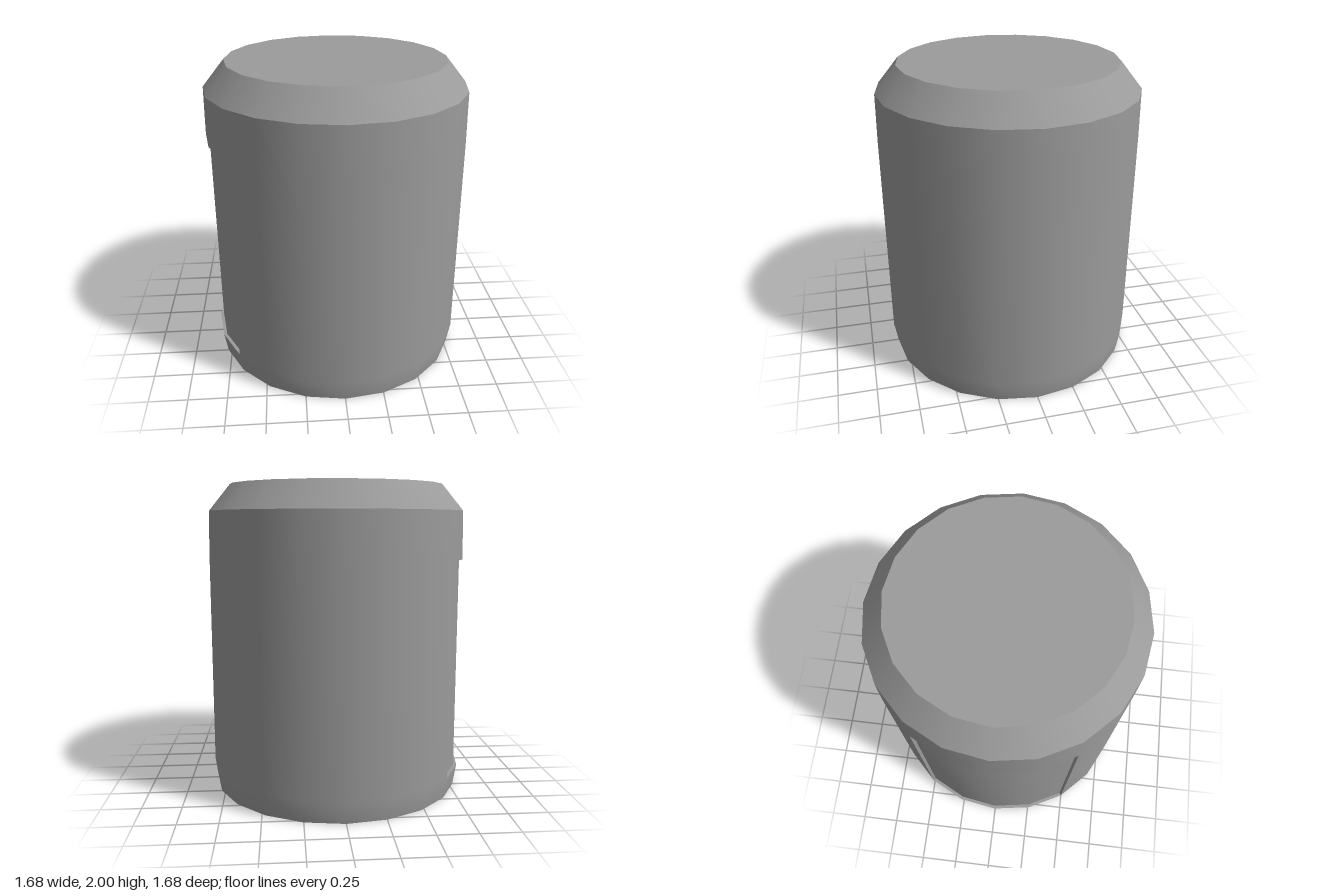
import * as THREE from 'three';
import { toCreasedNormals } from 'three/addons/utils/BufferGeometryUtils.js';

const SIDES = 20, R = 0.8385, SHOULDER_R = 0.834, TOP_R = 0.696, BASE_R = 0.815;
const INSET_R = 0.817, PANEL_LOW = 0.14, PANEL_HIGH = 1.52;
const STEP = (Math.PI * 2) / SIDES;
const PANEL_START = 13, PANEL_SIDES = 4; // facets of the recess, centred on -x
const profile = (pts) => pts.map(([r, y]) => new THREE.Vector2(r, y));

export function createModel() {
  const group = new THREE.Group();
  const material = new THREE.MeshStandardMaterial({ color: 0x9b9b9b });
  const add = (name, geometry) => {
    geometry.normalizeNormals();
    const mesh = new THREE.Mesh(geometry, material);
    mesh.name = name;
    group.add(mesh);
    return mesh;
  };

  // Smooth side wall, with the facets in front of the recess left out
  const wallPoints = profile([[BASE_R, 0], [R, PANEL_LOW], [R, PANEL_HIGH], [SHOULDER_R, 1.83]]);
  const wall = new THREE.LatheGeometry(wallPoints, SIDES);
  const bands = wallPoints.length - 1;
  wall.setIndex(Array.from(wall.index.array).filter((_, i) => {
    const quad = Math.floor(i / 6);
    const side = Math.floor(quad / bands), band = quad % bands;
    return !(band === 1 && side >= PANEL_START && side < PANEL_START + PANEL_SIDES);
  }));
  add('sideWall', wall);

  // Recessed panel with its lower and upper ledges
  const panel = new THREE.LatheGeometry(
    profile([[R, PANEL_LOW], [INSET_R, PANEL_LOW], [INSET_R, PANEL_HIGH], [R, PANEL_HIGH]]),
    PANEL_SIDES, PANEL_START * STEP, PANEL_SIDES * STEP);
  add('recessedPanel', toCreasedNormals(panel, Math.PI / 6));

  // Narrow upright steps at both ends of the recess, facing into it
  for (const [side, turn] of [[PANEL_START, 1], [PANEL_START + PANEL_SIDES, -1]]) {
    const angle = side * STEP, r = (R + INSET_R) / 2;
    const step = add('recessEnd', new THREE.PlaneGeometry(R - INSET_R, PANEL_HIGH - PANEL_LOW));
    step.position.set(r * Math.sin(angle), (PANEL_LOW + PANEL_HIGH) / 2, r * Math.cos(angle));
    step.rotation.y = angle + turn * Math.PI / 2;
  }

  // Sloping shoulder
  add('shoulder', new THREE.LatheGeometry(profile([[SHOULDER_R, 1.83], [TOP_R, 2]]), SIDES));

  // Flat lid and base
  const lid = add('lid', new THREE.CircleGeometry(TOP_R, SIDES));
  lid.rotation.x = -Math.PI / 2;
  lid.position.y = 2;
  const base = add('base', new THREE.CircleGeometry(BASE_R, SIDES));
  base.rotation.x = Math.PI / 2;

  return group;
}
